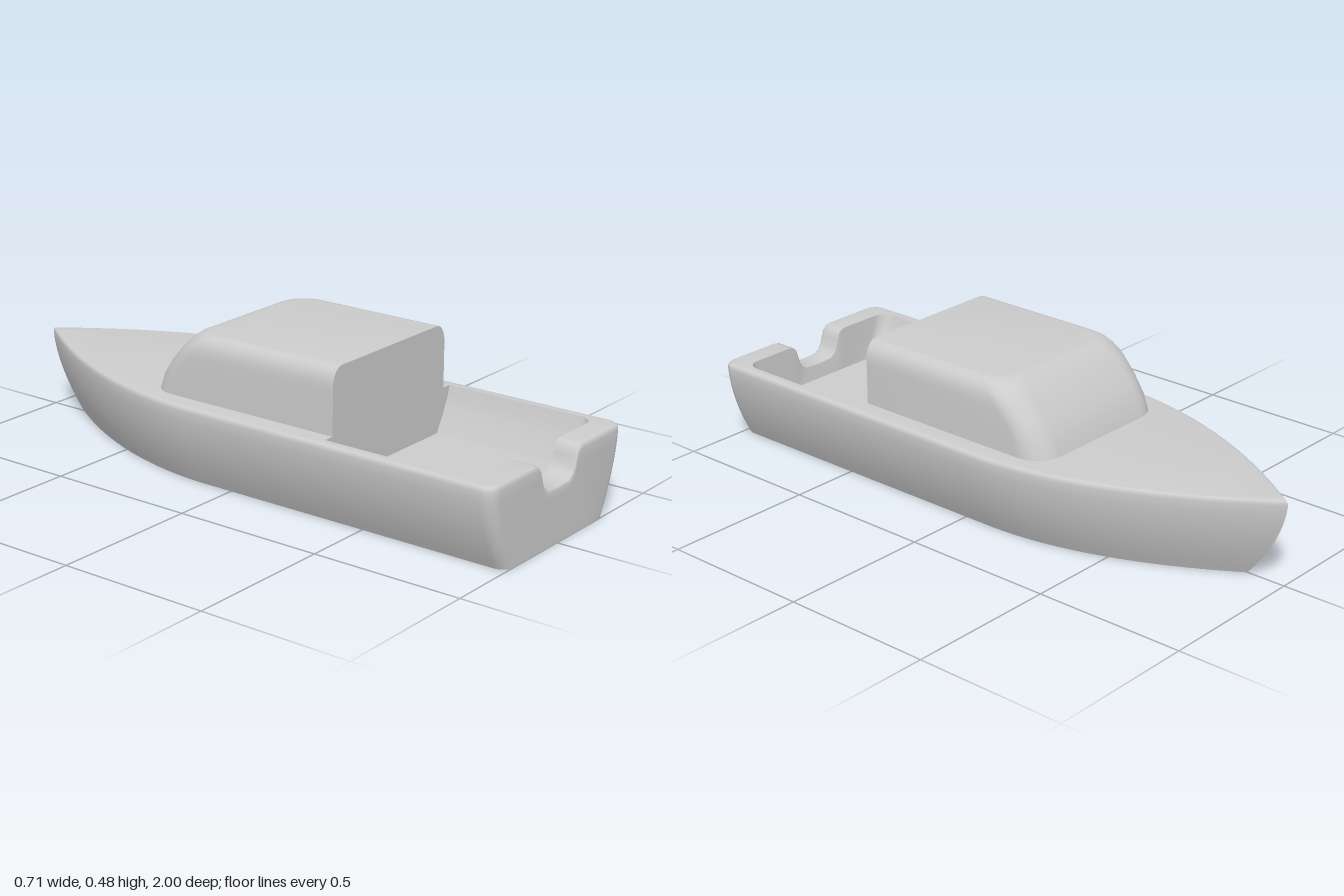
import * as THREE from 'three';
import { mergeGeometries, toCreasedNormals } from 'three/addons/utils/BufferGeometryUtils.js';

const DECK = 0.272, FLOOR = 0.13, TRANSOM = 0.92, WELL_FRONT = 0.4;

// Half of the transom notch: x and height, from rim to middle
const NOTCH = [[0.13, 0.272], [0.113, 0.269], [0.1, 0.257], [0.093, 0.237], [0.086, 0.212],
  [0.075, 0.193], [0.056, 0.181], [0, 0.178]];

const mirror = ([x, y, z]) => [-x, y, z];

// Surface through rows of points
function skin(rows) {
  const n = rows[0].length, index = [];
  for (let j = 0; j < rows.length - 1; j++) {
    for (let i = 0; i < n - 1; i++) {
      const a = j * n + i, b = a + n;
      index.push(a, b, a + 1, a + 1, b, b + 1);
    }
  }
  const g = new THREE.BufferGeometry();
  g.setAttribute('position', new THREE.Float32BufferAttribute(rows.flat(2), 3));
  g.setIndex(index);
  return g;
}

// Horizontal face through a loop of points, facing up or down
function flat(points, y, up) {
  const s = up ? -1 : 1;
  const g = new THREE.ShapeGeometry(new THREE.Shape(points.map(p => new THREE.Vector2(p[0], s * p[2]))));
  return g.rotateX(s * Math.PI / 2).translate(0, y, 0);
}

// Upright face in the xy plane, facing +z
function upright(points, z) {
  const g = new THREE.ShapeGeometry(new THREE.Shape(points.map(p => new THREE.Vector2(p[0], p[1]))));
  return g.translate(0, 0, z);
}

function part(name, geometries, crease) {
  const plain = geometries.map(g => {
    const p = g.index ? g.toNonIndexed() : g;
    p.deleteAttribute('uv');
    p.deleteAttribute('normal');
    return p;
  });
  const geometry = toCreasedNormals(mergeGeometries(plain), crease);
  const mesh = new THREE.Mesh(geometry, new THREE.MeshStandardMaterial({ color: 0xcccccc, side: THREE.DoubleSide }));
  mesh.name = name;
  return mesh;
}

// Half ring of the hull from bow to middle of the transom, at fraction f of its height
function hullHalf(f, inset) {
  const at = y => 1 - Math.pow(Math.max(0, 1 - y / DECK), 1.8);
  const y = f * DECK, g = at(y);
  const w = 0.27 + 0.085 * g - inset, bow = 0.87 + 0.13 * g - inset, stern = 1 - inset;
  const pts = [], r = 0.04;
  for (let i = 0; i <= 32; i++) {
    const t = 1 - i / 32;
    pts.push([w * (1 - Math.pow(t, 1.9)), y, -0.1 - (bow - 0.1) * t]);
  }
  for (let i = 1; i < 6; i++) pts.push([w, y, -0.1 + (stern - r + 0.1) * i / 6]);
  for (let i = 0; i <= 6; i++) {
    const a = i / 6 * Math.PI / 2;
    pts.push([w - r + r * Math.cos(a), y, stern - r + r * Math.sin(a)]);
  }
  for (const [x, top] of NOTCH) pts.push([x, f * top, stern]);
  return pts;
}

// Half ring of the cockpit well from front to middle of the transom, f = 0 at the rim
function wellHalf(f) {
  const w = 0.32 - 0.065 * Math.pow(f, 1.3), back = TRANSOM - 0.008 * f, r = 0.045;
  const height = top => top + (FLOOR - top) * f;
  const pts = [[w, height(DECK), WELL_FRONT]];
  for (let i = 0; i <= 6; i++) {
    const a = i / 6 * Math.PI / 2;
    pts.push([w - r + r * Math.cos(a), height(DECK), back - r + r * Math.sin(a)]);
  }
  for (const [x, top] of NOTCH) pts.push([x, height(top), back]);
  return pts;
}

function makeHull() {
  // Outer sides with a small rounded gunwale
  const levels = [0, 1, 2, 3, 4, 5, 6, 7, 8].map(i => [i / 8 * 0.94, 0]);
  levels.push([0.975, 0.002], [0.993, 0.006], [1, 0.013]);
  const halves = levels.map(([f, inset]) => hullHalf(f, inset));
  const rings = halves.map(h => [...h.slice(1).reverse().map(mirror), ...h]);

  // Cockpit well
  const wells = [0, 0.25, 0.5, 0.75, 1].map(wellHalf);
  const wellRings = wells.map(h => [...h, ...h.slice(0, -1).reverse().map(mirror)]);

  // Deck around the well, open at the notch
  const cut = NOTCH.length - 1;
  const edge = halves[halves.length - 1].slice(0, -cut);
  const rim = wells[0].slice(0, -cut);
  const deck = [...edge.slice(1).reverse(), ...edge.map(mirror),
    ...rim.slice().reverse().map(mirror), ...rim];

  // Sill of the notch through the transom
  const across = h => {
    const p = h.slice(-NOTCH.length);
    return [...p, ...p.slice(0, -1).reverse().map(mirror)];
  };
  const sill = skin([across(halves[halves.length - 1]), across(wells[0])]);

  // Wall closing the front of the well
  const side = wells.map(h => h[0]);
  const frontWall = upright([...side, ...side.slice().reverse().map(mirror)], WELL_FRONT);

  return part('hull', [
    skin(rings), skin(wellRings), sill, frontWall,
    flat(deck, DECK, true),
    flat(wellRings[4], FLOOR, true),
    flat(rings[0].slice(0, -1), 0, false),
  ], 0.75);
}

function makeCabin() {
  // Height, half width and front position of each level
  const levels = [[0.265, 0.285, -0.317], [0.32, 0.285, -0.297], [0.37, 0.285, -0.264], [0.41, 0.285, -0.23],
    [0.435, 0.284, -0.206], [0.455, 0.278, -0.184], [0.47, 0.268, -0.165], [0.479, 0.256, -0.146],
    [0.482, 0.242, -0.125]];
  const r = 0.09;
  const rings = levels.map(([y, w, front]) => {
    const half = [];
    for (let i = 0; i <= 10; i++) {
      const a = i / 10 * Math.PI / 2;
      half.push([w - r + r * Math.sin(a), y, front + r - r * Math.cos(a)]);
    }
    half.push([w, y, WELL_FRONT]);
    return [...half.slice().reverse().map(mirror), ...half];
  });
  const side = rings.map(ring => ring[ring.length - 1]);
  const back = upright([...side, ...side.slice().reverse().map(mirror)], WELL_FRONT);
  return part('cabin', [skin(rings), flat(rings[rings.length - 1], 0.482, true), back], 0.8);
}

export function createModel() {
  const boat = new THREE.Group();
  boat.name = 'boat';
  boat.add(makeHull(), makeCabin());
  return boat;
}
